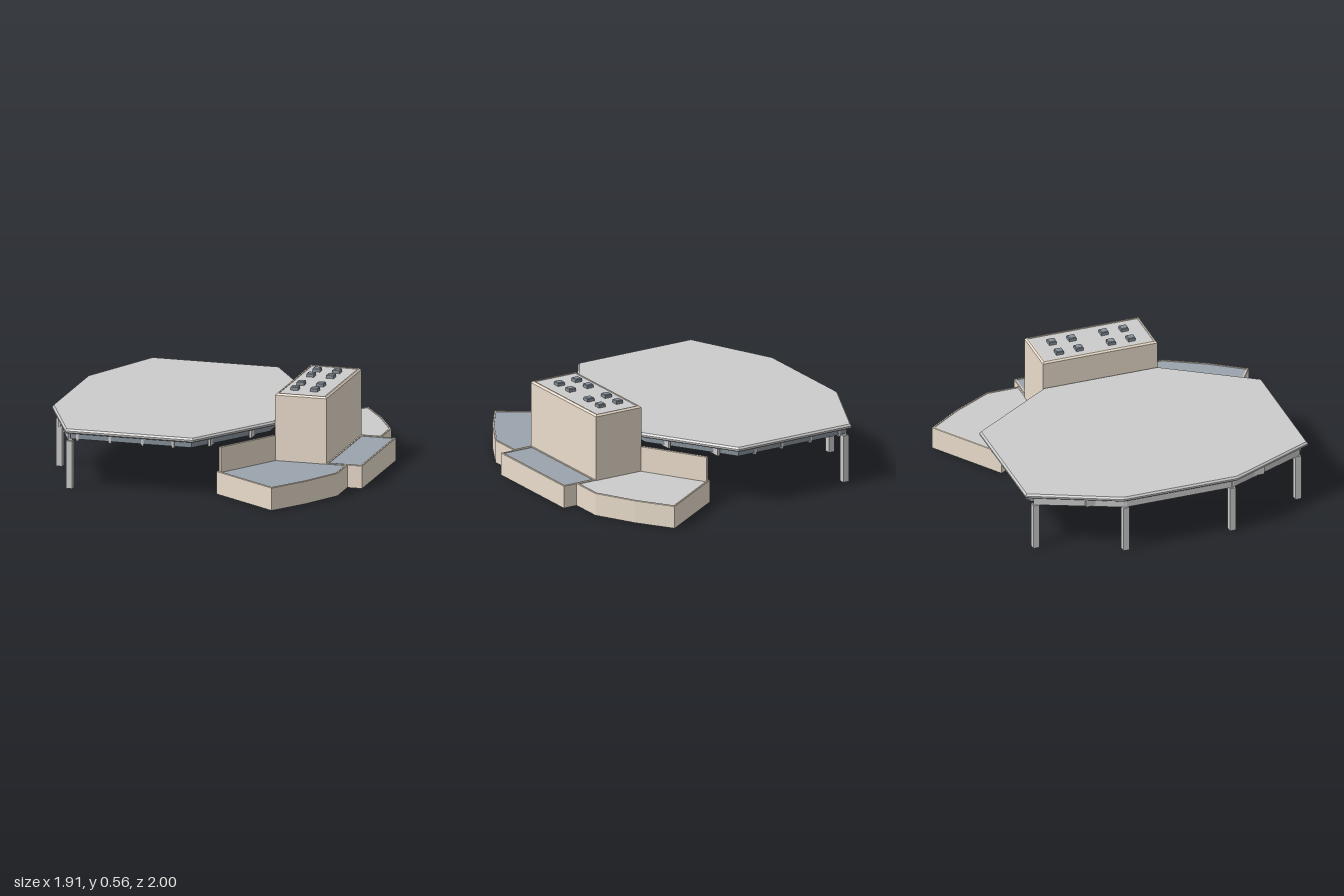
import * as THREE from 'three';

const mat = (color) => new THREE.MeshStandardMaterial({ color, flatShading: true, side: THREE.DoubleSide });
const BEIGE = mat(0xe9dccb), GREY = mat(0xc9c9c9), BLUE = mat(0x9aa4ad);
const DARK = mat(0x5f6366), FASCIA = mat(0x87919a), STEEL = mat(0xbcbcbe);

// Moves every edge of a convex plan polygon inwards by d
function inset(pts, d) {
  const n = pts.length;
  const lines = pts.map((p, i) => {
    const q = pts[(i + 1) % n];
    const l = Math.hypot(q[0] - p[0], q[1] - p[1]);
    const dir = [(q[0] - p[0]) / l, (q[1] - p[1]) / l];
    return { p: [p[0] - dir[1] * d, p[1] + dir[0] * d], dir };
  });
  return lines.map((b, i) => {
    const a = lines[(i + n - 1) % n];
    const cross = a.dir[0] * b.dir[1] - a.dir[1] * b.dir[0];
    const t = ((b.p[0] - a.p[0]) * b.dir[1] - (b.p[1] - a.p[1]) * b.dir[0]) / cross;
    return [a.p[0] + a.dir[0] * t, a.p[1] + a.dir[1] * t];
  });
}

// Same turning direction for every plan
function orient(pts) {
  let area = 0;
  pts.forEach((p, i) => {
    const q = pts[(i + 1) % pts.length];
    area += p[0] * q[1] - q[0] * p[1];
  });
  return area > 0 ? pts : [...pts].reverse();
}

// Skins a plan polygon along a profile of [inset, height] steps; caps close first and last loop
function loft(name, plan, profile, material, caps = false) {
  const base = orient(plan), n = base.length, v = [];
  const loops = profile.map(([d, y]) => inset(base, d).map(([x, z]) => [x, y, z]));
  for (let k = 0; k + 1 < loops.length; k++) {
    for (let i = 0; i < n; i++) {
      const j = (i + 1) % n;
      const a = loops[k][i], b = loops[k][j], c = loops[k + 1][j], d = loops[k + 1][i];
      v.push(...a, ...c, ...b, ...a, ...d, ...c);
    }
  }
  if (caps) {
    const lo = loops[0], hi = loops[loops.length - 1];
    for (let i = 1; i + 1 < n; i++) {
      v.push(...lo[0], ...lo[i], ...lo[i + 1], ...hi[0], ...hi[i + 1], ...hi[i]);
    }
  }
  const g = new THREE.BufferGeometry();
  g.setAttribute('position', new THREE.Float32BufferAttribute(v, 3));
  g.computeVertexNormals();
  const m = new THREE.Mesh(g, material);
  m.name = name;
  return m;
}

const prism = (name, plan, y0, y1, material) => loft(name, plan, [[0, y0], [0, y1]], material, true);

function box(name, w, h, d, x, y, z, material) {
  const m = new THREE.Mesh(new THREE.BoxGeometry(w, h, d), material);
  m.name = name;
  m.position.set(x, y, z);
  return m;
}

const rect = (x0, x1, z) => [[x0, -z], [x1, -z], [x1, z], [x0, z]];

// Hollow walls with a thin parapet and a recessed roof panel, open underneath
function block(name, plan, h, roofMaterial, bevel = 0.003) {
  const g = new THREE.Group();
  g.name = name;
  const t = bevel + 0.008;
  g.add(loft(name + 'Walls', plan, [[0, 0], [0, h - bevel], [bevel, h], [t, h], [t, 0], [0, 0]], BEIGE));
  const inner = inset(orient(plan), t);
  g.add(prism(name + 'Roof', inner, h - 0.01, h - 0.004, roofMaterial));
  g.add(prism(name + 'Ceiling', inner, h - 0.016, h - 0.011, DARK));
  return g;
}

export function createModel() {
  const model = new THREE.Group();
  model.name = 'pavilion';

  // Octagonal canopy: chamfered slab over a recessed solid fascia with a dark soffit
  const octagon = [[-0.955, 0.36], [-0.715, 0.89], [0.073, 0.89], [0.42, 0.36],
    [0.42, -0.36], [0.073, -0.89], [-0.715, -0.89], [-0.955, -0.36]];
  const canopy = new THREE.Group();
  canopy.name = 'canopy';
  model.add(canopy);
  canopy.add(loft('canopySlab', octagon, [[0.006, 0.347], [0, 0.353], [0, 0.363], [0.01, 0.374]], GREY, true));
  canopy.add(loft('canopyFascia', octagon, [[0.035, 0.309], [0.035, 0.347]], FASCIA));
  canopy.add(prism('canopySoffit', inset(orient(octagon), 0.036), 0.308, 0.312, DARK));

  // Cross beams, each as long as the canopy is at its place
  const halfDepth = (x) => Math.min(0.89, 0.36 + (x + 0.955) * 0.53 / 0.24, 0.36 + (0.42 - x) * 0.53 / 0.347);
  for (const x of [-0.85, -0.65, -0.45, -0.25, -0.06, 0.135, 0.31]) {
    const half = halfDepth(x) - 0.03;
    canopy.add(box('crossBeam', 0.015, 0.047, half * 2, x, 0.3225, 0, STEEL));
  }
  canopy.add(box('spineBeam', 1.28, 0.005, 0.01, -0.265, 0.306, 0, FASCIA));

  // Edge beams along the open end and the posts that carry them
  const tops = [[-0.705, 0.825], [-0.915, 0.335], [-0.915, -0.335], [-0.705, -0.825]];
  tops.forEach(([x, z], i) => {
    model.add(box('post', 0.038, 0.29, 0.038, x, 0.145, z, STEEL));
    if (i === 3) return;
    const [x2, z2] = tops[i + 1];
    const beam = box('edgeBeam', 0.025, 0.052, Math.hypot(x2 - x, z2 - z) + 0.02,
      (x + x2) / 2, 0.318, (z + z2) / 2, STEEL);
    beam.rotation.y = Math.atan2(x2 - x, z2 - z);
    canopy.add(beam);
  });

  // Tower with rooflights
  model.add(block('tower', rect(0.42, 0.737, 0.361), 0.545, GREY, 0.01));
  for (const x of [0.503, 0.625]) {
    for (const z of [-0.23, -0.105, 0.097, 0.222]) {
      const plan = rect(x - 0.023, x + 0.023, 0.023).map(([a, b]) => [a, b + z]);
      model.add(loft('rooflight', plan, [[0, 0.535], [0, 0.559], [0.004, 0.563]], FASCIA, true));
    }
  }

  // Low annex beside the tower
  model.add(block('annex', rect(0.735, 0.953, 0.347), 0.14, BLUE));

  // Mirrored wings, each with a tall screen wall under the canopy edge
  for (const [s, side, roof] of [[1, 'front', BLUE], [-1, 'rear', GREY]]) {
    const mirror = (pts) => pts.map(([x, z]) => [x, z * s]);
    const wing = [[0.165, 0.715], [0.59, 0.998], [0.735, 0.79], [0.863, 0.553], [0.863, 0.347], [0.395, 0.347]];
    model.add(block(side + 'Wing', mirror(wing), 0.14, roof));
    const screen = [[0.181, 0.717], [0.196, 0.727], [0.424, 0.362], [0.405, 0.36]];
    model.add(prism(side + 'ScreenWall', mirror(screen), 0.125, 0.29, BEIGE));
  }
  return model;
}
